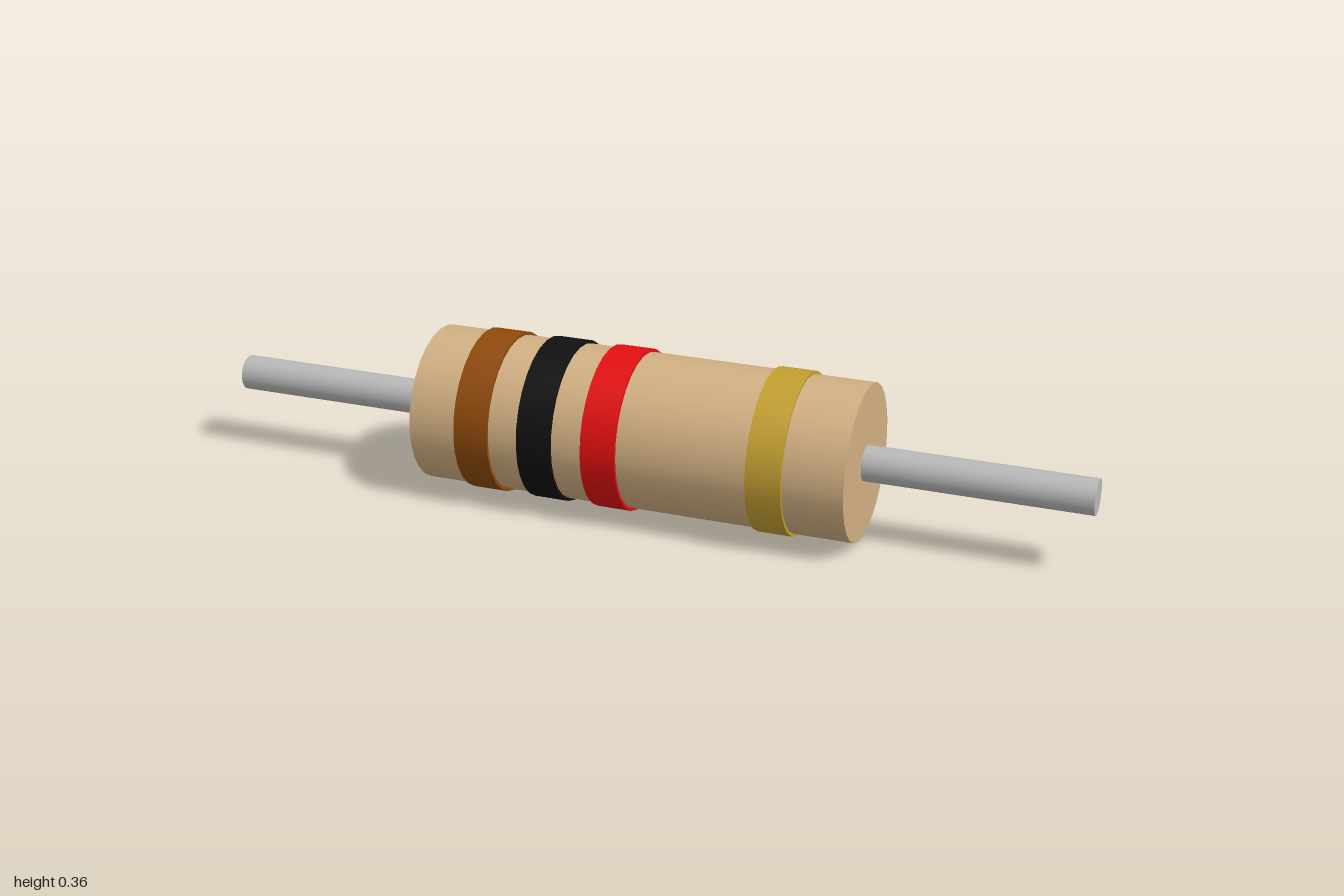
import * as THREE from 'three';

const material = (name, color) => {
  const m = new THREE.MeshStandardMaterial({ color });
  m.name = name;
  return m;
};

// Cylinder lying along x, centred at the given x
function rod(name, radius, length, x, sides, mat) {
  const geometry = new THREE.CylinderGeometry(radius, radius, length, sides);
  geometry.rotateZ(-Math.PI / 2);
  const mesh = new THREE.Mesh(geometry, mat);
  mesh.name = name;
  mesh.position.x = x;
  return mesh;
}

export function createModel() {
  const model = new THREE.Group();
  model.name = 'resistor';

  const bandRadius = 0.182;
  const tan = material('tan', 0xd2b083);
  const silver = material('silver', 0xb9b9b9);

  // Ceramic body
  model.add(rod('body', 0.175, 1, 0, 28, tan));

  // Wire leads, one at each end
  for (const [name, side] of [['leftLead', 1], ['rightLead', -1]]) {
    model.add(rod(name, 0.04, 0.5, side * 0.75, 20, silver));
  }

  // Colour bands, slightly proud of the body
  const bands = [
    ['brown', 0x8f4a0c, -0.35],
    ['black', 0x111111, -0.2],
    ['red', 0xe31010, -0.05],
    ['gold', 0xc4a032, 0.325],
  ];
  for (const [name, color, x] of bands) {
    model.add(rod(`${name}Band`, bandRadius, 0.08, x, 28, material(name, color)));
  }

  // Rest the bands on the ground
  for (const part of model.children) part.position.y = bandRadius;
  return model;
}
